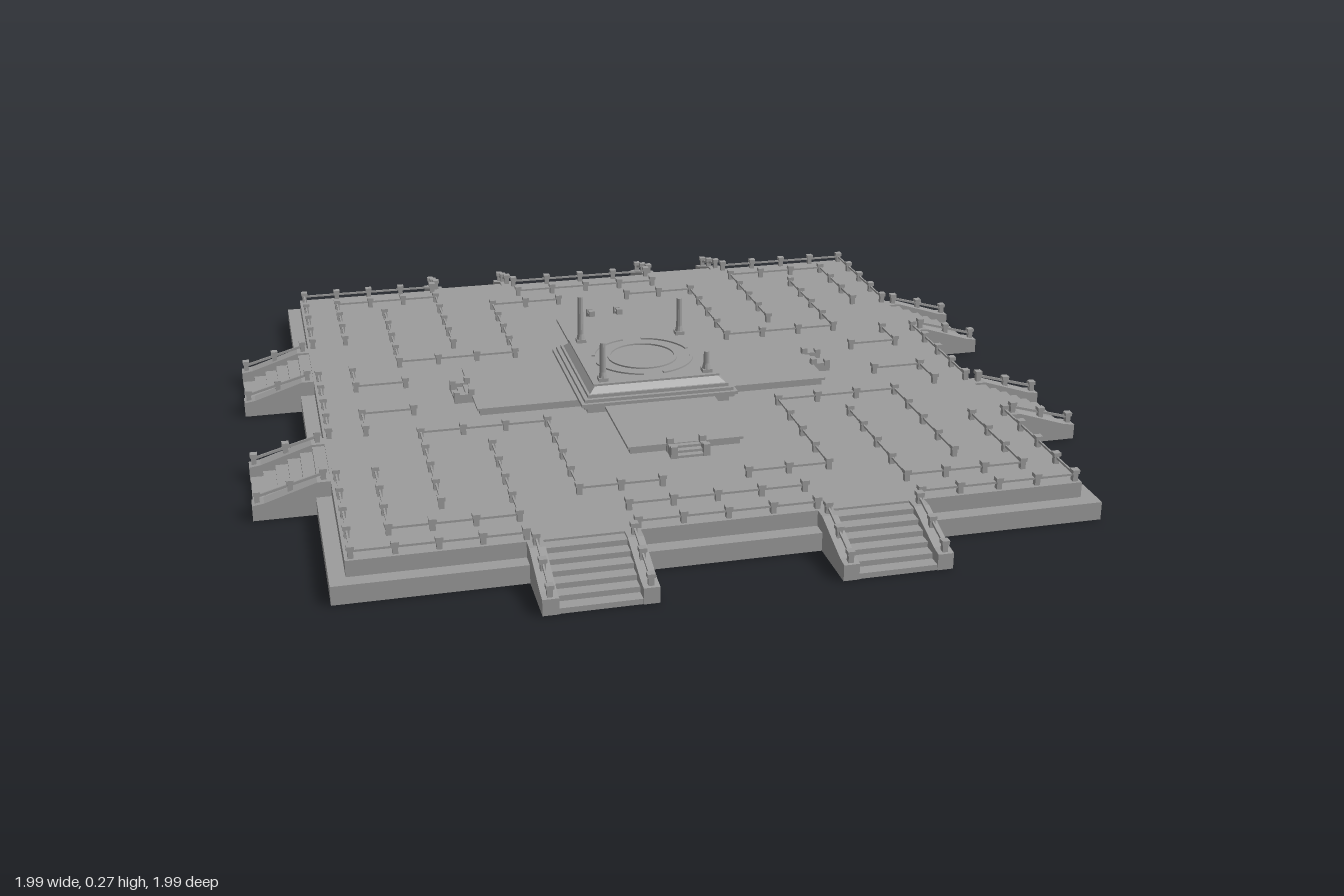
import * as THREE from 'three';

const mat = new THREE.MeshStandardMaterial({ color: 0x9c9c9c, flatShading: true, side: THREE.DoubleSide });
const FLOOR = 0.08; // terrace level
const SUNK = FLOOR - 0.004; // parts pass just through the floor sheet

function add(parent, name, geo, x = 0, y = 0, z = 0) {
  const m = new THREE.Mesh(geo, mat);
  m.name = name;
  m.position.set(x, y, z);
  parent.add(m);
  return m;
}

// Box given by its centre in plan and its bottom and top heights
function block(parent, name, w, d, y0, y1, x = 0, z = 0) {
  return add(parent, name, new THREE.BoxGeometry(w, y1 - y0, d), x, (y0 + y1) / 2, z);
}

function group(parent, name) {
  const g = new THREE.Group();
  g.name = name;
  parent.add(g);
  return g;
}

function post(parent, x, z, y) {
  block(parent, 'fencePost', 0.012, 0.012, y - 0.004, y + 0.02, x, z);
  block(parent, 'postHead', 0.017, 0.017, y + 0.019, y + 0.028, x, z);
}

// Straight fence with evenly spaced posts and one handrail
function fence(parent, [x0, z0, x1, z1]) {
  const g = group(parent, 'fence');
  const len = Math.hypot(x1 - x0, z1 - z0);
  const n = Math.max(1, Math.round(len / 0.095));
  for (let i = 0; i <= n; i++) post(g, x0 + (x1 - x0) * i / n, z0 + (z1 - z0) * i / n, FLOOR);
  block(g, 'handrail', Math.abs(x1 - x0) + 0.004, Math.abs(z1 - z0) + 0.004,
    FLOOR + 0.013, FLOOR + 0.018, (x0 + x1) / 2, (z0 + z1) / 2);
}

// Extrude a profile drawn in (z, y) sideways, centred on x = 0
function sideProfile(points, width) {
  const shape = new THREE.Shape(points.map(p => new THREE.Vector2(...p)));
  return new THREE.ExtrudeGeometry(shape, { depth: width, bevelEnabled: false })
    .rotateY(-Math.PI / 2).translate(width / 2, 0, 0);
}

// Wide stair descending towards +z, hollow beneath, with sloped side walls and rails
function stair(parent, x) {
  const g = group(parent, 'stair');
  g.position.x = x;
  const steps = 6, zIn = 0.82, run = 0.175 / steps, rise = 0.075 / steps;
  const flight = [];
  for (let i = 0; i < steps; i++) {
    const y = 0.075 - i * rise;
    flight.push([zIn + i * run, y], [zIn + (i + 1) * run, y]);
  }
  flight.push([zIn + steps * run, 0], [zIn + steps * run - 0.004, 0], [zIn, 0.062]);
  add(g, 'steps', sideProfile(flight, 0.178));
  const wall = sideProfile([[0.82, 0], [0.997, 0], [0.997, 0.037], [0.97, 0.041], [0.85, 0.08], [0.82, 0.08]], 0.035);
  for (const s of [-1, 1]) {
    add(g, 'stairWall', wall, s * 0.105);
    for (const [z, y] of [[0.835, 0.079], [0.91, 0.058], [0.985, 0.037]]) post(g, s * 0.105, z, y);
    const rail = block(g, 'stairRail', 0.004, 0.155, -0.003, 0.003, s * 0.105, 0.91);
    rail.position.y = 0.073;
    rail.rotation.x = Math.atan2(0.042, 0.15);
  }
}

// Low platform reaching out from the centre, with a small stair at its end
function arm(parent) {
  const g = group(parent, 'crossArm');
  block(g, 'armBase', 0.265, 0.26, SUNK, 0.094, 0, 0.308);
  block(g, 'armTop', 0.278, 0.28, 0.094, 0.1, 0, 0.305);
  for (let i = 0; i < 3; i++) {
    block(g, 'smallStep', 0.065, 0.015, SUNK, 0.098 - i * 0.006, 0, 0.45 + i * 0.015);
  }
  for (const s of [-1, 1]) {
    block(g, 'smallStairWall', 0.014, 0.05, SUNK, 0.102, s * 0.039, 0.464);
    block(g, 'smallStairPost', 0.016, 0.014, SUNK, 0.109, s * 0.039, 0.482);
    block(g, 'smallStairPost', 0.016, 0.014, SUNK, 0.115, s * 0.039, 0.446);
  }
}

// Square ring with walls of thickness t
function frame(half, t, h) {
  const sq = r => [[-r, -r], [r, -r], [r, r], [-r, r]].map(p => new THREE.Vector2(...p));
  const shape = new THREE.Shape(sq(half));
  shape.holes.push(new THREE.Path(sq(half - t)));
  return new THREE.ExtrudeGeometry(shape, { depth: h, bevelEnabled: false }).rotateX(-Math.PI / 2);
}

// Curved kerb between two angles
function kerb(parent, r, a0, a1) {
  const shape = new THREE.Shape();
  shape.absarc(0, 0, r + 0.004, a0, a1, false);
  shape.absarc(0, 0, r - 0.004, a1, a0, true);
  add(parent, 'circularKerb', new THREE.ExtrudeGeometry(shape, { depth: 0.006, bevelEnabled: false, curveSegments: 10 })
    .rotateX(-Math.PI / 2), 0, 0.144);
}

export function createModel() {
  const root = new THREE.Group();
  root.name = 'terrace';
  const all = group(root, 'platformComplex');
  all.position.z = -0.004;

  // Two-tier base, a shell open underneath
  add(all, 'lowerSkirt', frame(0.855, 0.002, 0.043));
  add(all, 'lowerLedge', frame(0.855, 0.036, 0.002), 0, 0.041);
  add(all, 'upperWall', frame(0.82, 0.002, FLOOR - 0.041), 0, 0.041);
  block(all, 'terraceFloor', 1.64, 1.64, FLOOR - 0.002, FLOOR);

  // Four sides: stairs, arms and the outer fence between the stairs
  for (let k = 0; k < 4; k++) {
    const side = group(all, 'terraceSide');
    side.rotation.y = k * Math.PI / 2;
    const cx = k % 2 ? 0.305 : 0.32;
    stair(side, -cx);
    stair(side, cx);
    arm(side);
    fence(side, [-cx + 0.12, 0.807, cx - 0.12, 0.807]);
    fence(side, [cx + 0.12, 0.807, 0.807, 0.807]);
    fence(side, [-0.807, 0.807, -cx - 0.12, 0.807]);
  }

  // Inner fences, one quarter mirrored to all four
  const quarter = [
    [0.72, 0.72, 0.44, 0.72], [0.72, 0.72, 0.72, 0.43], [0.44, 0.72, 0.44, 0.34],
    [0.595, 0.62, 0.595, 0.235], [0.595, 0.235, 0.29, 0.235], [0.29, 0.235, 0.29, 0.62],
    [0.29, 0.62, 0.1, 0.62], [0.72, 0.19, 0.72, 0.09], [0.72, 0.09, 0.595, 0.09],
  ];
  for (const sx of [-1, 1]) for (const sz of [-1, 1]) {
    const q = group(all, 'innerFences');
    for (const [a, b, c, d] of quarter) fence(q, [a * sx, b * sz, c * sx, d * sz]);
  }
  for (const s of [-1, 1]) fence(all, [-0.2, 0.72 * s, 0.2, 0.72 * s]);

  // Central pedestal of stepped mouldings
  const centre = group(all, 'centralPedestal');
  const tiers = [[0.18, SUNK, 0.1], [0.19, 0.094, 0.102], [0.197, 0.102, 0.11], [0.188, 0.11, 0.118], [0.178, 0.118, 0.126]];
  for (const [r, y0, y1] of tiers) block(centre, 'moulding', 2 * r, 2 * r, y0, y1);
  const slope = new THREE.CylinderGeometry(0.155 * Math.SQRT2, 0.172 * Math.SQRT2, 0.015, 4).rotateY(Math.PI / 4);
  add(centre, 'slopedTier', slope, 0, 0.1335);
  block(centre, 'pedestalTop', 0.32, 0.32, 0.141, 0.146);

  // Circular kerbs on top: a full inner ring and a broken outer one
  kerb(centre, 0.085, 0, Math.PI);
  kerb(centre, 0.085, Math.PI, Math.PI * 2);
  for (let k = 0; k < 4; k++) kerb(centre, 0.125, k * Math.PI / 2 + 0.2, (k + 1) * Math.PI / 2 - 0.2);

  // Corner columns of uneven height
  for (const [sx, sz, top] of [[-1, -1, 0.27], [1, -1, 0.245], [1, 1, 0.2], [-1, 1, 0.245]]) {
    const x = sx * 0.132, z = sz * 0.137;
    block(centre, 'columnBase', 0.024, 0.024, 0.145, 0.155, x, z);
    add(centre, 'columnFoot', new THREE.CylinderGeometry(0.008, 0.011, 0.014, 10), x, 0.162, z);
    add(centre, 'column', new THREE.CylinderGeometry(0.007, 0.008, top - 0.155, 10), x, (top + 0.155) / 2, z);
  }
  return root;
}
